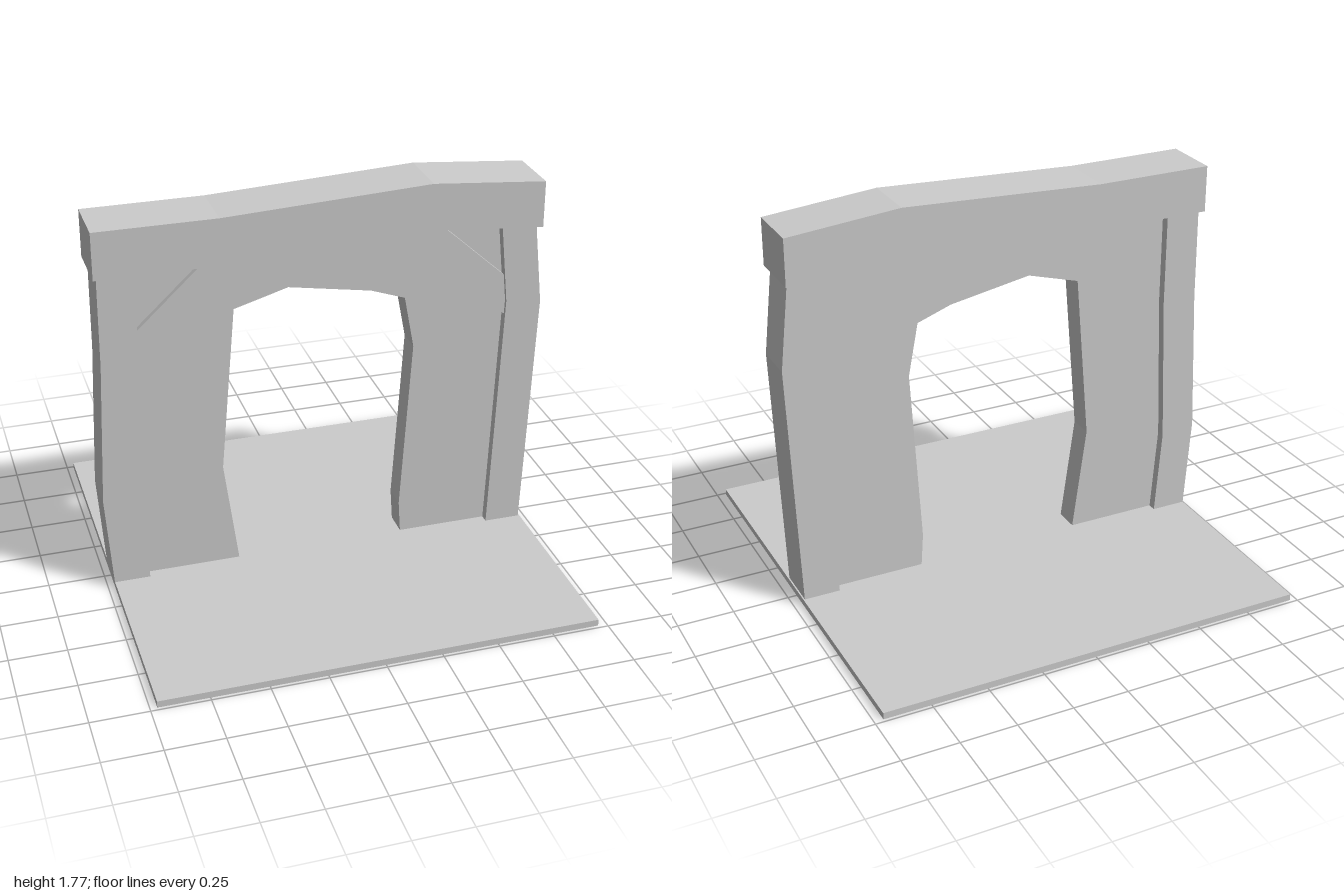
import * as THREE from 'three';

const material = new THREE.MeshStandardMaterial({ color: 0xcccccc, flatShading: true });

// Extrude an outline in the x-y plane between two depths
function slab(name, points, zBack, zFront) {
  const shape = new THREE.Shape(points.map(([x, y]) => new THREE.Vector2(x, y)));
  const geometry = new THREE.ExtrudeGeometry(shape, { depth: zFront - zBack, bevelEnabled: false });
  geometry.translate(0, 0, zBack);
  const mesh = new THREE.Mesh(geometry, material);
  mesh.name = name;
  return mesh;
}

export function createModel() {
  const group = new THREE.Group();
  group.name = 'timberArchway';
  const base = 0.02;

  // Thin floor plate
  const floor = new THREE.Mesh(new THREE.BoxGeometry(1.93, 0.03, 1.97), material);
  floor.position.set(-0.005, 0.015, 0);
  floor.name = 'floor';
  group.add(floor);

  // Crooked posts
  group.add(slab('rightPost', [
    [-0.97, base], [-0.81, base], [-0.84, 0.42], [-0.812, 1.1], [-0.812, 1.53],
    [-0.97, 1.53], [-0.973, 1.1], [-1, 0.45],
  ], -0.09, 0.105));
  group.add(slab('leftPost', [
    [0.79, base], [0.953, base], [0.997, 1.14], [0.955, 1.53], [0.797, 1.54], [0.835, 1.16],
  ], -0.09, 0.105));

  // Wall with an irregular doorway, its sides buried in the posts
  group.add(slab('wall', [
    [-0.9, base], [-0.39, base], [-0.455, 0.51], [-0.39, 1.27], [-0.15, 1.34], [0.22, 1.275],
    [0.375, 1.22], [0.42, 0.98], [0.37, 0.18], [0.38, base],
    [0.87, base], [0.9, 1.1], [0.88, 1.55], [0.47, 1.58], [-0.47, 1.54], [-0.9, 1.54],
  ], -0.05, 0.065));

  // Diagonal braces on the front, let into post and beam
  group.add(slab('rightBrace', [
    [-0.85, 1.012], [-0.27, 1.557], [-0.47, 1.557], [-0.85, 1.202],
  ], 0.03, 0.09));
  group.add(slab('leftBrace', [
    [0.27, 1.585], [0.87, 1.06], [0.87, 1.24], [0.49, 1.582],
  ], 0.03, 0.09));

  // Bowed lintel beam of constant height
  const top = [[-0.99, 1.725], [-0.46, 1.725], [0.46, 1.77], [0.967, 1.725]];
  const bottom = top.map(([x, y]) => [x, y - 0.21]);
  group.add(slab('lintelBeam', [...bottom, ...top.reverse()], -0.11, 0.153));

  return group;
}
